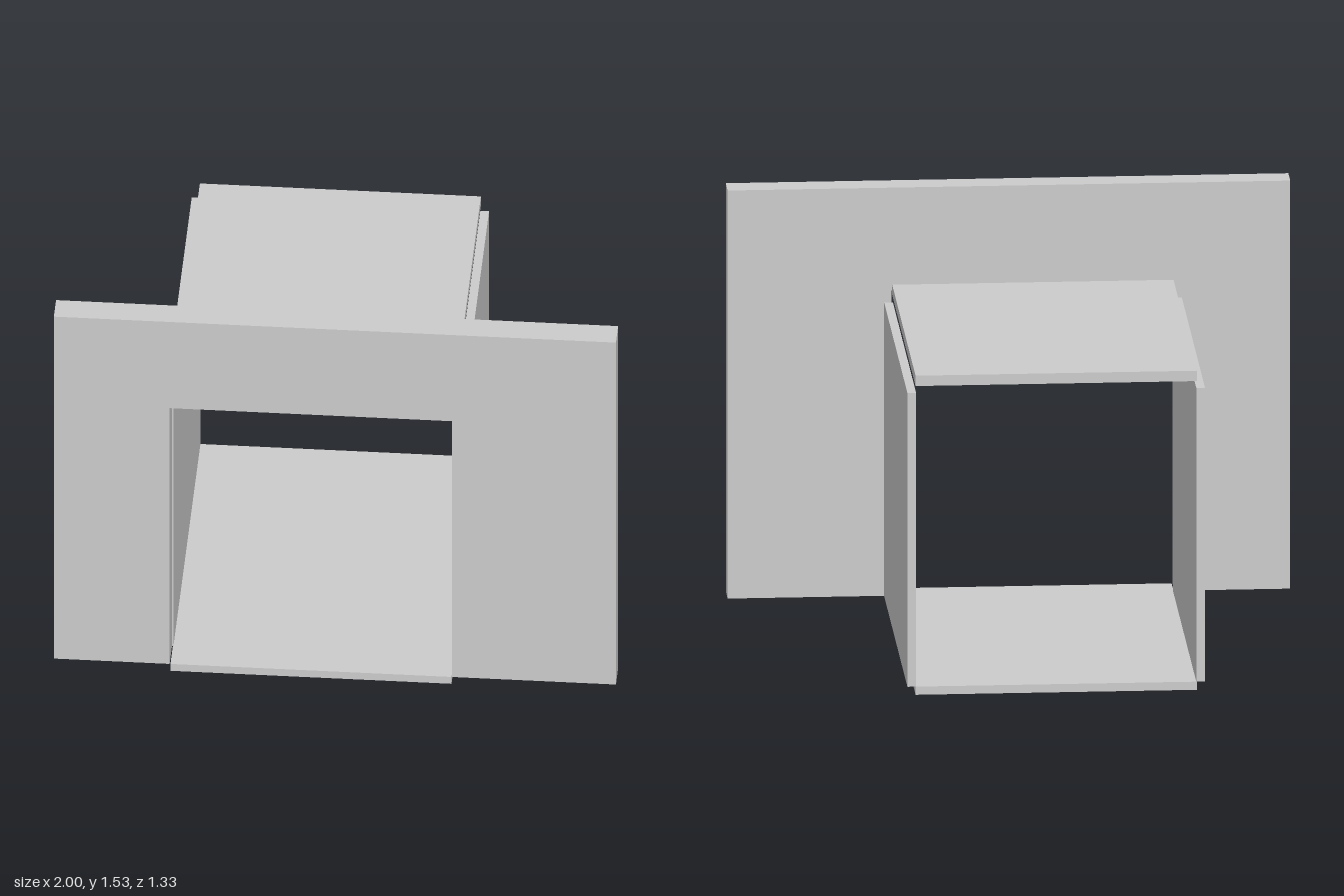
import * as THREE from 'three';

const material = new THREE.MeshStandardMaterial({ color: 0xcccccc, flatShading: true });

// Box panel given by its min and max corners
function panel(name, [x0, y0, z0], [x1, y1, z1]) {
  const mesh = new THREE.Mesh(new THREE.BoxGeometry(x1 - x0, y1 - y0, z1 - z0), material);
  mesh.position.set((x0 + x1) / 2, (y0 + y1) / 2, (z0 + z1) / 2);
  mesh.name = name;
  return mesh;
}

export function createModel() {
  const group = new THREE.Group();
  group.name = 'doorwayWithPassage';

  const left = 0.415, right = -0.585; // passage width
  const back = -0.665, wallBack = 0.565, front = 0.665;
  const floorTop = 0.03;

  // Front wall with an off-centre doorway open at the bottom
  const outline = [
    [-1, floorTop], [right - 0.003, floorTop], [right - 0.003, 1.152], [left + 0.002, 1.152],
    [left + 0.002, floorTop], [1, floorTop], [1, 1.53], [-1, 1.53],
  ];
  const shape = new THREE.Shape(outline.map(([x, y]) => new THREE.Vector2(x, y)));
  const wall = new THREE.Mesh(
    new THREE.ExtrudeGeometry(shape, { depth: front - wallBack, bevelEnabled: false }), material);
  wall.position.z = wallBack;
  wall.name = 'frontWall';
  group.add(wall);

  // Floor runs through the doorway; the roof floats just above the side walls
  group.add(panel('floor', [right, 0, back], [left, floorTop, front]));
  group.add(panel('roof', [right, 1.135, back], [left, 1.173, wallBack]));

  // Thin side walls just outside the floor edges
  group.add(panel('leftSideWall', [left - 0.002, floorTop, back], [left + 0.029, 1.11, 0.557]));
  group.add(panel('rightSideWall', [right - 0.029, floorTop, back], [right + 0.002, 1.11, 0.557]));

  return group;
}
